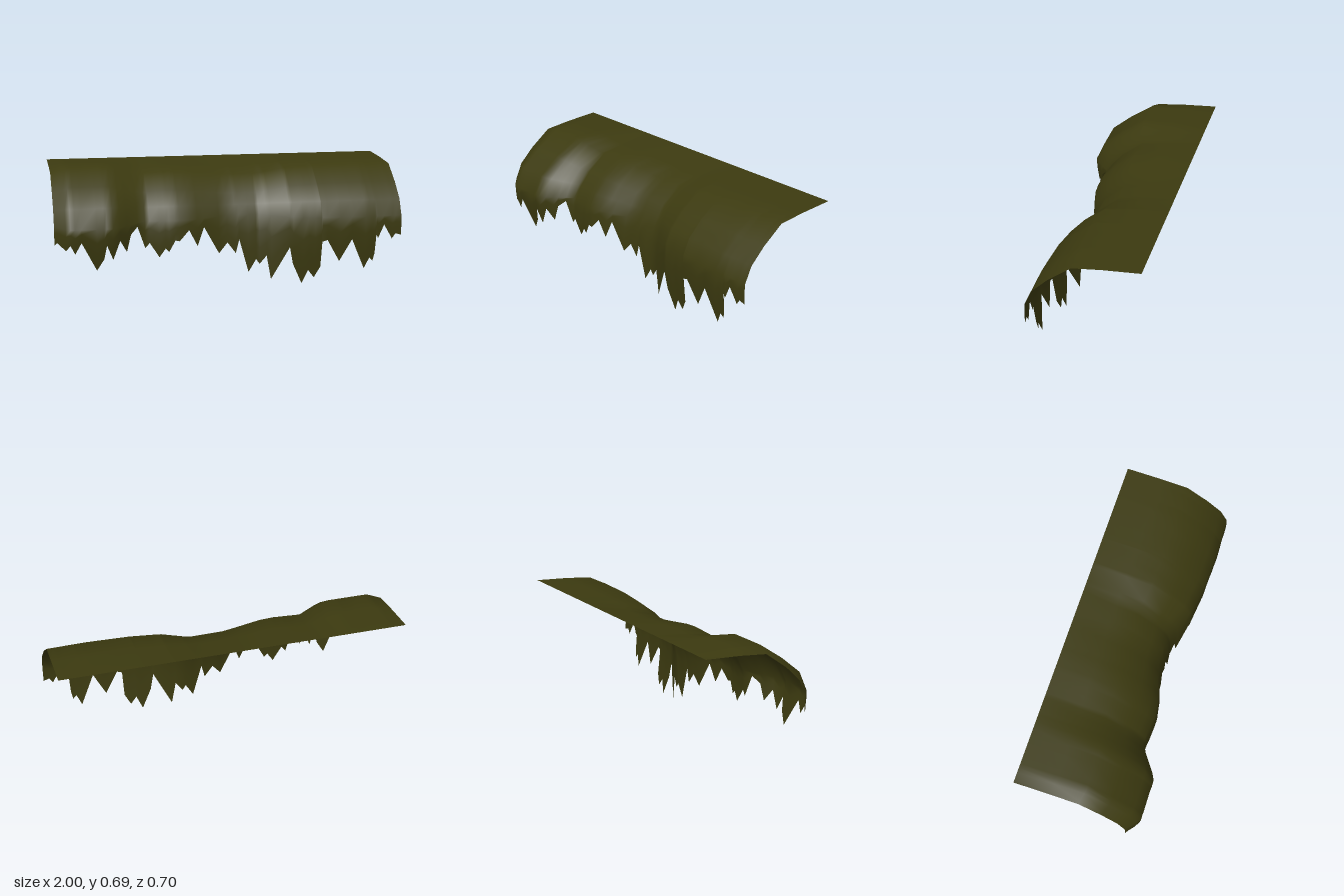
import * as THREE from 'three';

const lerp = THREE.MathUtils.lerp;

// Cross-section [z, y] from back edge to front drop: shallowest and deepest
const SHALLOW = [[-0.35, 0.682], [-0.15, 0.645], [-0.015, 0.614], [0.095, 0.523], [0.163, 0.405]];
const DEEP = [[-0.35, 0.682], [-0.14, 0.688], [0.04, 0.683], [0.178, 0.592], [0.30, 0.494], [0.35, 0.383]];
// Give the shallow section the same count of points as the deep one
SHALLOW.splice(4, 0, [0.132, 0.46]);

// How far forward the sheet reaches along its length [x, z]
const REACH = [[-1, 0.287], [-0.92, 0.347], [-0.67, 0.347], [-0.5, 0.24], [-0.32, 0.255], [-0.24, 0.248],
  [-0.02, 0.19], [0.19, 0.185], [0.35, 0.26], [0.53, 0.285], [0.78, 0.295], [1, 0.288]];

// Ragged lower edge [x, y]
const FRINGE = [[-1, 0.29], [-0.985, 0.305], [-0.94, 0.265], [-0.915, 0.295], [-0.89, 0.245], [-0.855, 0.31],
  [-0.77, 0.145], [-0.73, 0.21], [-0.715, 0.29], [-0.68, 0.205], [-0.64, 0.31], [-0.6, 0.24], [-0.575, 0.335],
  [-0.535, 0.373], [-0.49, 0.245], [-0.465, 0.275], [-0.41, 0.19], [-0.375, 0.24], [-0.355, 0.22], [-0.32, 0.285],
  [-0.295, 0.28], [-0.24, 0.34], [-0.19, 0.245], [-0.15, 0.35], [-0.06, 0.19], [-0.01, 0.25], [0.04, 0.185],
  [0.06, 0.265], [0.115, 0.07], [0.16, 0.145], [0.18, 0.115], [0.22, 0.165], [0.245, 0.025], [0.345, 0.22],
  [0.365, 0.12], [0.42, 0], [0.455, 0.08], [0.49, 0.035], [0.525, 0.1], [0.53, 0.25], [0.56, 0.26],
  [0.635, 0.13], [0.705, 0.26], [0.785, 0.08], [0.815, 0.145], [0.835, 0.125], [0.845, 0.17], [0.85, 0.285],
  [0.86, 0.26], [0.895, 0.34], [0.945, 0.255], [0.965, 0.285], [1, 0.275]];

// Linear lookup in a list of [x, value]
function sample(list, x) {
  let i = 1;
  while (i < list.length - 1 && list[i][0] < x) i++;
  const [a, b] = [list[i - 1], list[i]];
  return lerp(a[1], b[1], (x - a[0]) / (b[0] - a[0]));
}

// One column of points from the back edge to the tip of the fringe
function column(x, tipY) {
  const reach = sample(REACH, x);
  const t = (reach - 0.187) / 0.163;
  const points = DEEP.map(([z, y], i) => [lerp(SHALLOW[i][0], z, t), lerp(SHALLOW[i][1], y, t)]);
  const [z0, y0] = points[points.length - 1];
  for (const f of [0.33, 0.67, 1]) {
    const y = lerp(y0, tipY, f);
    const curl = t * 0.04 * Math.pow(Math.max(0, 0.36 - y) / 0.22, 1.3);
    points.push([lerp(z0, reach, Math.min(1, (y0 - y) / 0.12)) - curl, y]);
  }
  return points.map(([z, y]) => [x, y, z]);
}

export function createModel() {
  const group = new THREE.Group();
  group.name = 'mossOverhang';
  const moss = new THREE.MeshStandardMaterial({ color: 0x3c3a10, side: THREE.DoubleSide });
  moss.name = 'dark olive moss';

  // Loft the columns into one smooth sheet
  const columns = FRINGE.map(([x, y]) => column(x, y));
  const rows = columns[0].length;
  const index = [];
  for (let i = 0; i < columns.length - 1; i++) {
    for (let j = 0; j < rows - 1; j++) {
      const a = i * rows + j, c = a + rows;
      index.push(a, a + 1, c, c, a + 1, c + 1);
    }
  }
  const geometry = new THREE.BufferGeometry();
  geometry.setAttribute('position', new THREE.Float32BufferAttribute(columns.flat(2), 3));
  geometry.setIndex(index);
  geometry.computeVertexNormals();

  const sheet = new THREE.Mesh(geometry, moss);
  sheet.name = 'hangingMossSheet';
  group.add(sheet);
  return group;
}
